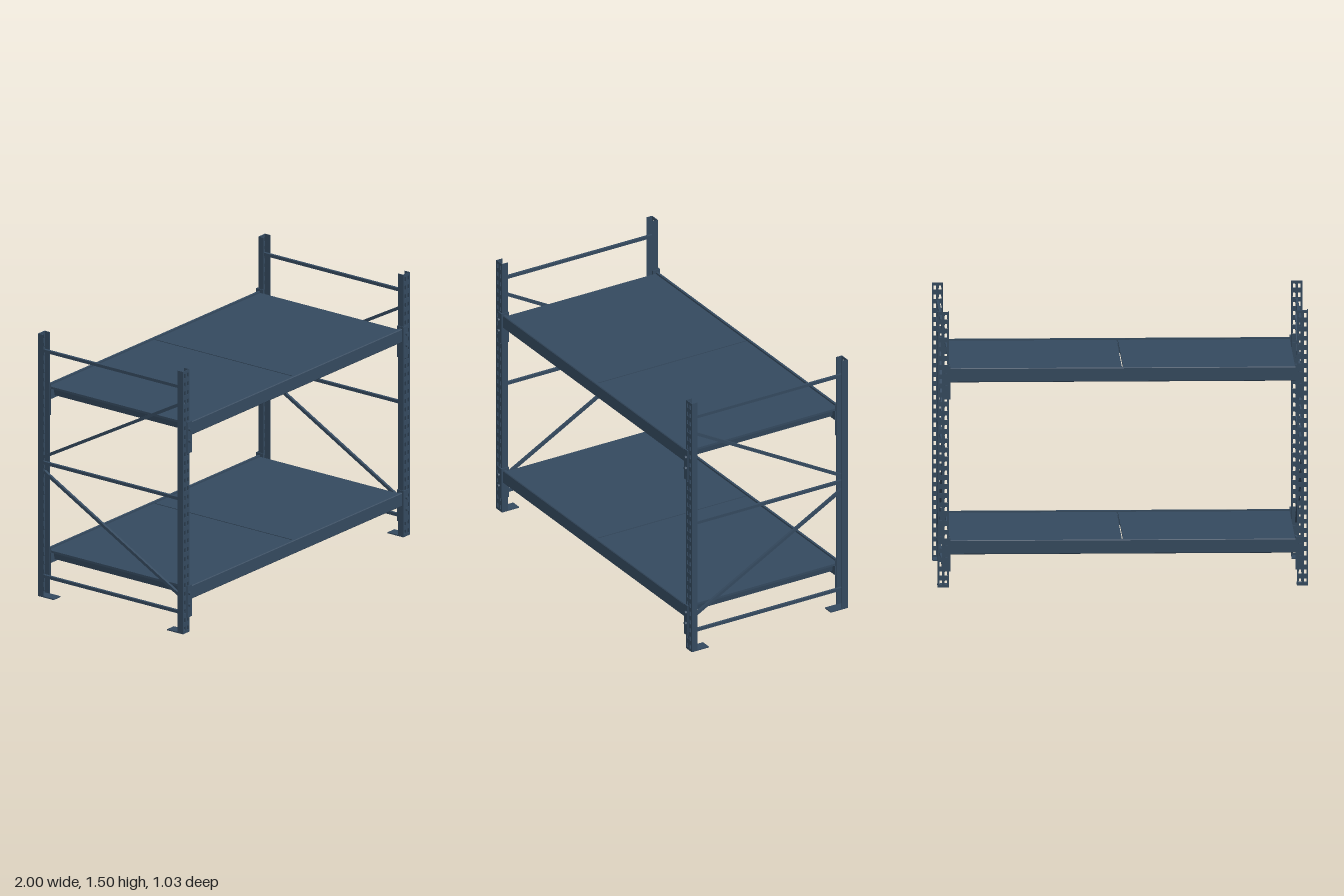
import * as THREE from 'three';

const steel = new THREE.MeshStandardMaterial({ color: 0x34495e });
steel.name = 'blue grey steel';

const W = 0.06, H = 1.505, POST_X = 0.969, FACE_Z = 0.495, POST_DEPTH = 0.037;
const SHELVES = [0.18, 1.12]; // underside height of the beams

function add(parent, name, geometry, x = 0, y = 0, z = 0) {
  const mesh = new THREE.Mesh(geometry, steel);
  mesh.name = name;
  mesh.position.set(x, y, z);
  parent.add(mesh);
  return mesh;
}
const box = (w, h, d) => new THREE.BoxGeometry(w, h, d);

function polygon(points) {
  return new THREE.Shape(points.map(([x, y]) => new THREE.Vector2(x, y)));
}

function extrude(shape, depth) {
  return new THREE.ExtrudeGeometry(shape, { depth, bevelEnabled: false });
}

// Perforated front wall of an upright, two columns of slots
function perforatedWall() {
  const shape = polygon([[-W / 2, 0], [W / 2, 0], [W / 2, H], [-W / 2, H]]);
  for (let i = 0; i < 30; i++) {
    for (const cx of [-0.014, 0.014]) {
      const y = 0.027 + i * 0.05, w = 0.0075, h = 0.012;
      const hole = new THREE.Path();
      hole.moveTo(cx - w, y - h);
      hole.lineTo(cx - w * 0.8, y + h);
      hole.lineTo(cx + w * 0.8, y + h);
      hole.lineTo(cx + w, y - h);
      hole.closePath();
      shape.holes.push(hole);
    }
  }
  return extrude(shape, 0.004);
}

// Channel upright, open towards the inside of the rack, with its foot
function upright(wall) {
  const post = new THREE.Group();
  post.name = 'upright';
  add(post, 'perforatedFace', wall, 0, 0, -0.004);
  for (const s of [-1, 1]) {
    add(post, 'postSide', box(0.004, H, POST_DEPTH), s * (W / 2 - 0.002), H / 2, -POST_DEPTH / 2);
  }
  add(post, 'footPlate', box(W, 0.006, 0.108), 0, 0.003, -0.054);
  return post;
}

// Bar between two points in a side frame
function brace(parent, name, x, [y0, z0], [y1, z1]) {
  const bar = add(parent, name, box(0.015, 0.017, Math.hypot(y1 - y0, z1 - z0)), x, (y0 + y1) / 2, (z0 + z1) / 2);
  bar.rotation.x = -Math.atan2(y1 - y0, z1 - z0);
}

// Stepped beam section swept along x; the ledge carries the deck
function beamGeometry() {
  const section = polygon([
    [0.455, 0], [0.489, 0], [0.493, 0.004], [0.493, 0.073], [0.489, 0.077],
    [0.476, 0.077], [0.476, 0.056], [0.455, 0.056],
  ]);
  const length = 1.87;
  const g = extrude(section, length);
  g.translate(0, 0, -length / 2);
  g.rotateY(-Math.PI / 2);
  return g;
}

// Deck panel: flat sheet on top, trapezoid ribs along z below
function deckGeometry() {
  const width = 0.927, ribs = 9, pitch = width / ribs;
  const pts = [[0, 0], [0, -0.012]];
  for (let i = 0; i < ribs; i++) {
    const x = i * pitch;
    pts.push([x + pitch * 0.17, -0.012], [x + pitch * 0.25, -0.055],
      [x + pitch * 0.75, -0.055], [x + pitch * 0.83, -0.012]);
  }
  pts.push([width, -0.012], [width, 0]);
  const ribbed = extrude(polygon(pts.reverse()), 0.908);
  ribbed.translate(-width / 2, 0, -0.454);
  return ribbed;
}

export function createModel() {
  const model = new THREE.Group();
  model.name = 'palletRack';

  // Uprights
  const wall = perforatedWall();
  for (const sx of [-1, 1]) {
    for (const sz of [-1, 1]) {
      const post = upright(wall);
      post.position.set(sx * POST_X, 0, sz * FACE_Z);
      if (sz < 0) post.rotation.y = Math.PI;
      model.add(post);
    }
  }

  // Side frame bracing
  for (const sx of [-1, 1]) {
    const frame = new THREE.Group();
    frame.name = 'sideBracing';
    const x = sx * 0.967, e = 0.475;
    for (const y of [0.11, 0.76, 1.403]) brace(frame, 'horizontalBrace', x, [y, -e], [y, e]);
    brace(frame, 'upperDiagonal', x, [0.795, -e], [1.315, e]);
    brace(frame, 'lowerDiagonal', x, [0.71, -e], [0.193, e]);
    model.add(frame);
  }

  // Shelf levels
  const beam = beamGeometry(), deck = deckGeometry();
  const boltHead = new THREE.CylinderGeometry(0.009, 0.009, 0.012, 12).rotateX(Math.PI / 2);
  for (const y of SHELVES) {
    const shelf = new THREE.Group();
    shelf.name = 'shelf';
    shelf.position.y = y;
    for (const sz of [-1, 1]) {
      const b = add(shelf, 'beam', beam);
      if (sz < 0) b.rotation.y = Math.PI;
      // Beam end connectors: angle plate with two bolts
      for (const sx of [-1, 1]) {
        add(shelf, 'connectorFace', box(0.037, 0.18, 0.008), sx * 0.9495, -0.001, sz * 0.5);
        add(shelf, 'connectorSide', box(0.006, 0.18, 0.046), sx * 0.934, -0.001, sz * 0.48);
        for (const by of [-0.02, 0.046]) {
          add(shelf, 'bolt', boltHead, sx * 0.955, by, sz * 0.509);
        }
      }
    }
    // Two deck panels with sheet lapping onto the beams
    for (const sx of [-1, 1]) {
      add(shelf, 'deckPanel', deck, sx * 0.467, 0.069, 0);
      for (const sz of [-1, 1]) {
        add(shelf, 'deckLip', box(0.927, 0.012, 0.02), sx * 0.467, 0.063, sz * 0.464);
      }
    }
    model.add(shelf);
  }
  return model;
}
